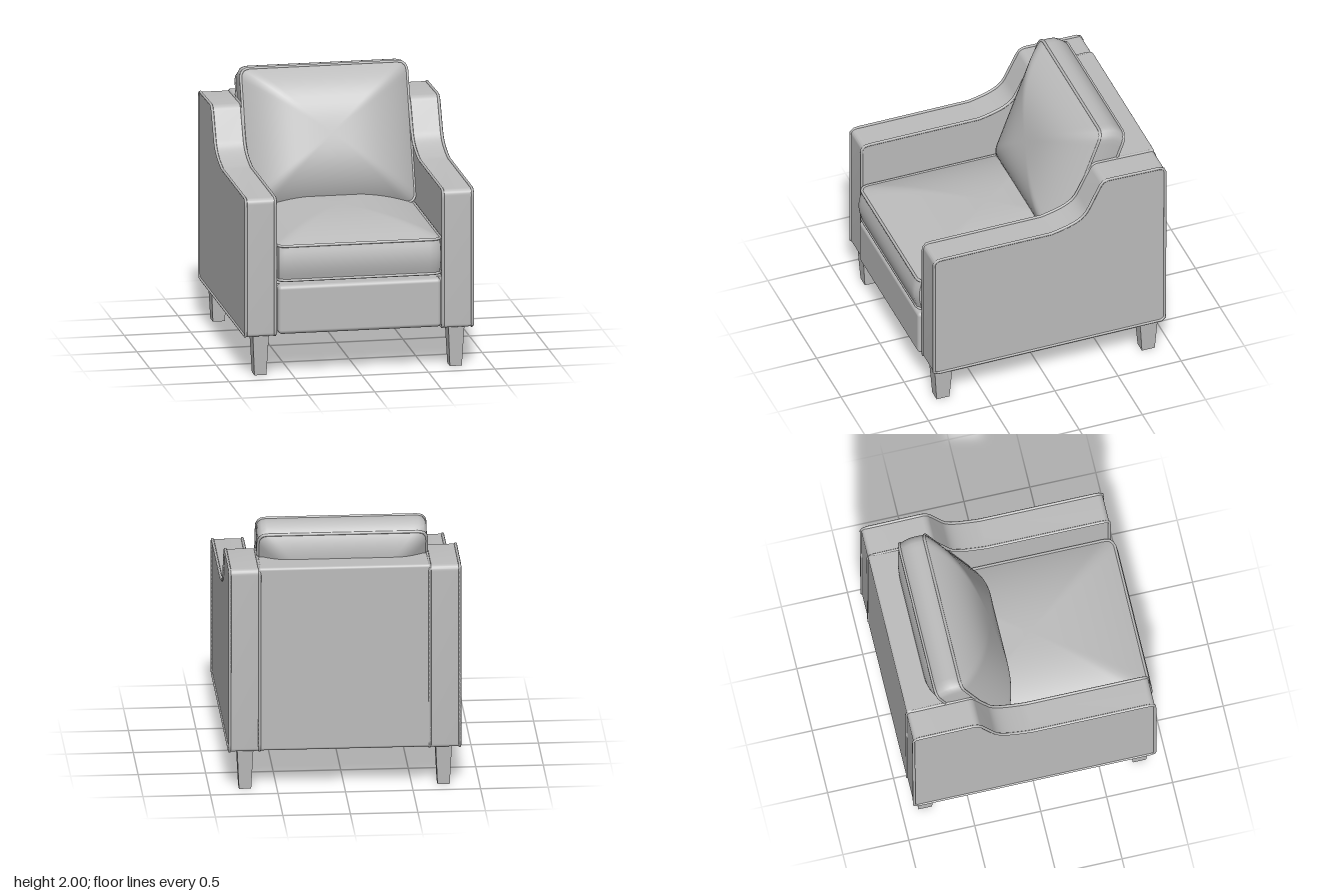
import * as THREE from 'three';
import { toCreasedNormals } from 'three/addons/utils/BufferGeometryUtils.js';
import { RoundedBoxGeometry } from 'three/addons/geometries/RoundedBoxGeometry.js';

const upholstery = new THREE.MeshStandardMaterial({ color: 0xbcbcbc });
upholstery.name = 'grey upholstery';

function part(name, geometry, parent) {
  const mesh = new THREE.Mesh(geometry, upholstery);
  mesh.name = name;
  parent.add(mesh);
  return mesh;
}

// Closed piping cord through a loop of points
function piping(points, radius = 0.011) {
  const curve = new THREE.CatmullRomCurve3(points, true);
  return new THREE.TubeGeometry(curve, 180, radius, 6, true);
}

// Counter-clockwise rounded rectangle, as evenly spaced points
function outline(w, d, r) {
  const x = w / 2, y = d / 2, s = new THREE.Shape();
  s.moveTo(x, -y + r);
  s.lineTo(x, y - r);
  s.quadraticCurveTo(x, y, x - r, y);
  s.lineTo(-x + r, y);
  s.quadraticCurveTo(-x, y, -x, y - r);
  s.lineTo(-x, -y + r);
  s.quadraticCurveTo(-x, -y, -x + r, -y);
  s.lineTo(x - r, -y);
  s.quadraticCurveTo(x, -y, x, -y + r);
  return s.getSpacedPoints(120).slice(0, -1);
}

// Box cushion: crowned faces joined by a bulging band, with piping on both seams
function cushion(name, w, d, t, top, bottom, bulge, parent) {
  const group = new THREE.Group();
  group.name = name;
  parent.add(group);
  const loop = outline(w, d, 0.07), n = loop.length, steps = 14;
  const rings = []; // [scale, height, outward offset]
  for (let i = 0; i <= steps; i++) {
    const s = Math.sin((i / steps) * Math.PI / 2);
    rings.push([s, -t / 2 - bottom.height * (1 - s ** bottom.power), 0]);
  }
  for (let i = 1; i < 6; i++) rings.push([1, -t / 2 + t * i / 6, bulge * Math.sin(Math.PI * i / 6)]);
  for (let i = steps; i >= 0; i--) {
    const s = Math.sin((i / steps) * Math.PI / 2);
    rings.push([s, t / 2 + top.height * (1 - s ** top.power), 0]);
  }
  const position = [], index = [];
  rings.forEach(([s, y, o], i) => {
    loop.forEach((p, j) => {
      position.push(p.x * (s + 0.3 * o / w), y, p.y * (s + 2 * o / d));
      if (i === rings.length - 1) return;
      const a = i * n + j, b = i * n + (j + 1) % n;
      index.push(a, a + n, b, b, a + n, b + n);
    });
  });
  const geometry = new THREE.BufferGeometry();
  geometry.setAttribute('position', new THREE.Float32BufferAttribute(position, 3));
  geometry.setIndex(index);
  part(name + 'Body', toCreasedNormals(geometry, 0.7), group);
  for (const y of [-t / 2, t / 2]) {
    part(name + 'Piping', piping(loop.map(p => new THREE.Vector3(p.x, y, p.y))), group);
  }
  return group;
}

// Arm side profile: x is depth toward the front, y is height
function armProfile() {
  const s = new THREE.Shape();
  s.moveTo(-0.9, 0.305);
  s.lineTo(0.88, 0.305);
  s.quadraticCurveTo(0.9, 0.305, 0.9, 0.33);
  s.lineTo(0.9, 1.31);
  s.quadraticCurveTo(0.9, 1.355, 0.85, 1.355);
  s.lineTo(-0.03, 1.355);
  s.bezierCurveTo(-0.2, 1.39, -0.28, 1.42, -0.32, 1.5);
  s.lineTo(-0.42, 1.7);
  s.quadraticCurveTo(-0.44, 1.735, -0.48, 1.735);
  s.lineTo(-0.89, 1.725);
  s.quadraticCurveTo(-0.93, 1.725, -0.93, 1.68);
  s.lineTo(-0.925, 0.33);
  s.quadraticCurveTo(-0.925, 0.305, -0.9, 0.305);
  return s;
}

export function createModel() {
  const chair = new THREE.Group();
  chair.name = 'armchair';

  // Arms with piping around both faces
  const profile = armProfile();
  const armLoop = profile.getSpacedPoints(160).slice(0, -1);
  const inner = 0.63, outer = 0.852;
  for (const side of [1, -1]) {
    const arm = new THREE.Group();
    arm.name = side > 0 ? 'leftArm' : 'rightArm';
    chair.add(arm);
    const body = new THREE.ExtrudeGeometry(profile, { depth: outer - inner, bevelEnabled: false, curveSegments: 10 });
    body.rotateY(-Math.PI / 2);
    body.translate(side > 0 ? outer : -inner, 0, 0);
    part('armBody', toCreasedNormals(body, 0.6), arm);
    for (const x of [inner, outer]) {
      part('armPiping', piping(armLoop.map(p => new THREE.Vector3(side * x, p.y, p.x))), arm);
    }
  }

  // Back panel, base and front rail
  part('backPanel', new RoundedBoxGeometry(1.28, 1.425, 0.28, 3, 0.02), chair).position.set(0, 1.0225, -0.79);
  part('base', new THREE.BoxGeometry(1.27, 0.37, 1.7), chair).position.set(0, 0.505, 0);
  part('frontRail', new RoundedBoxGeometry(1.225, 0.37, 0.2, 4, 0.03), chair).position.set(0, 0.505, 0.83);

  // Seat cushion
  cushion('seatCushion', 1.23, 1.55, 0.26,
    { height: 0.11, power: 2.4 }, { height: 0.05, power: 4 }, 0.025, chair).position.set(0, 0.86, 0.15);

  // Leaning back cushion, its top face turned to the front
  const back = cushion('backCushion', 1.25, 1.05, 0.2,
    { height: 0.2, power: 3 }, { height: 0.13, power: 4 }, 0.03, chair);
  back.position.set(0, 1.458, -0.43);
  back.rotation.x = 1.22;

  // Tapered square legs
  for (const x of [-0.735, 0.735]) {
    for (const z of [0.8, -0.825]) {
      const leg = new THREE.BoxGeometry(0.12, 0.31, 0.145);
      const p = leg.attributes.position;
      for (let i = 0; i < p.count; i++) {
        if (p.getY(i) < 0) p.setXYZ(i, p.getX(i) * 0.75, p.getY(i), p.getZ(i) * 0.7);
      }
      leg.computeVertexNormals();
      part(z > 0 ? 'frontLeg' : 'backLeg', leg, chair).position.set(x, 0.155, z);
    }
  }
  return chair;
}
